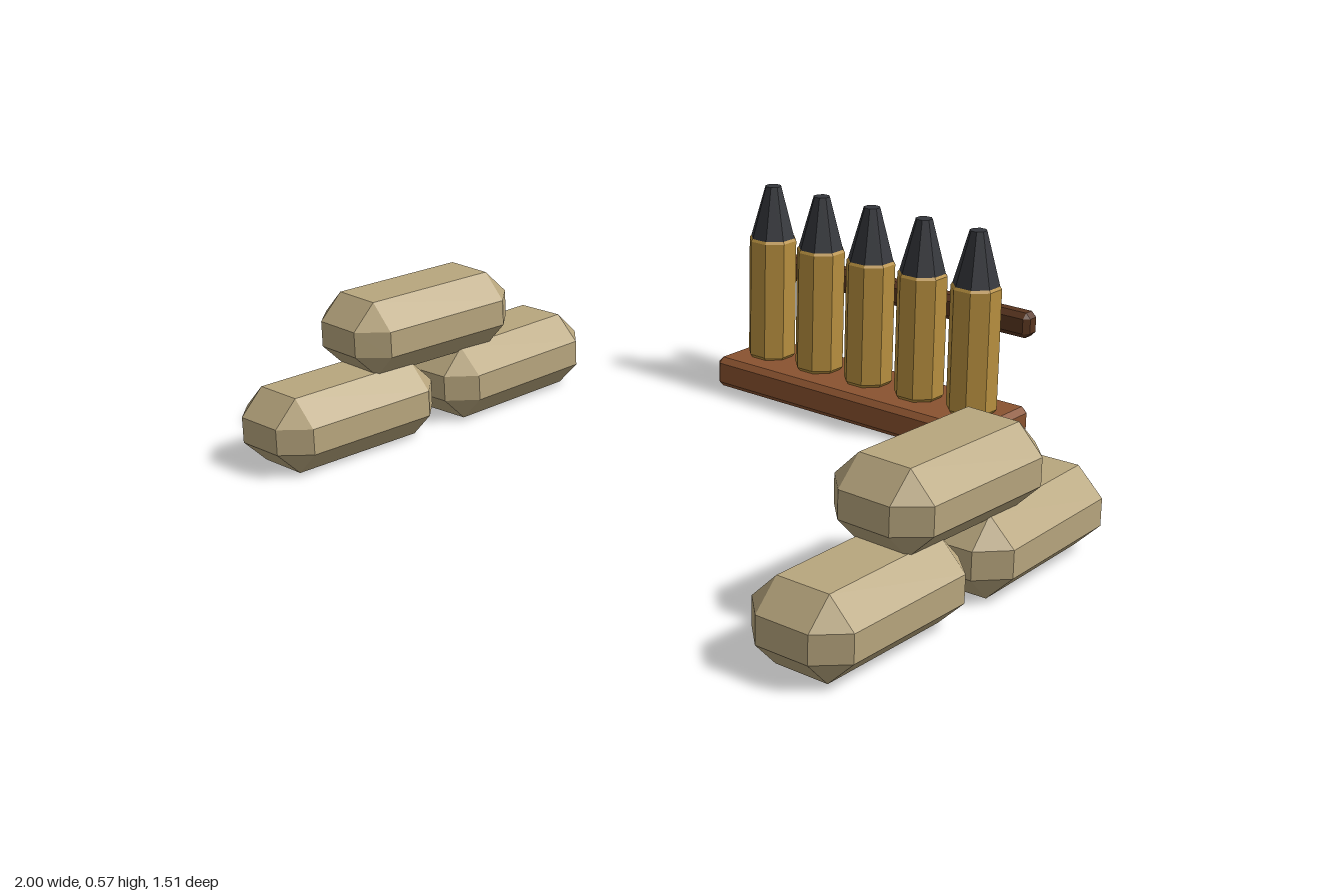
import * as THREE from 'three';
import { ConvexGeometry } from 'three/addons/geometries/ConvexGeometry.js';

const paint = (color) => new THREE.MeshStandardMaterial({ color, flatShading: true });
const canvas = paint(0xb8a67e);
const brass = paint(0xb8903f);
const steel = paint(0x35373c);
const wood = paint(0x8a5330);
const darkWood = paint(0x5a3620);

// Box with every edge cut at 45 degrees and triangular corners
function chamferBox(w, h, d, c) {
  const points = [];
  for (const sx of [-1, 1]) for (const sy of [-1, 1]) for (const sz of [-1, 1]) {
    for (let axis = 0; axis < 3; axis++) {
      const half = [w / 2, h / 2, d / 2].map((v, i) => (i === axis ? v : v - c));
      points.push(new THREE.Vector3(sx * half[0], sy * half[1], sz * half[2]));
    }
  }
  return new ConvexGeometry(points);
}

// Eight-sided turned form; radii are measured to the flats
function octagonal(profile) {
  const k = 1 / Math.cos(Math.PI / 8);
  const points = profile.map(([r, y]) => new THREE.Vector2(r * k, y));
  return new THREE.LatheGeometry(points, 8, Math.PI / 8);
}

function add(parent, name, geometry, material, x, y, z) {
  const mesh = new THREE.Mesh(geometry, material);
  mesh.name = name;
  mesh.position.set(x, y, z);
  parent.add(mesh);
  return mesh;
}

export function createModel() {
  const model = new THREE.Group();
  model.name = 'sandbagsAndShellRack';

  // Two stacks of three sandbags, each bag turned slightly
  const bag = chamferBox(0.27, 0.2, 0.51, 0.066);
  for (const [name, x] of [['rightSandbags', -0.857], ['leftSandbags', 0.855]]) {
    const stack = new THREE.Group();
    stack.name = name;
    stack.position.x = x;
    add(stack, 'frontSandbag', bag, canvas, 0, 0.1, 0.5);
    add(stack, 'backSandbag', bag, canvas, 0, 0.1, -0.043).rotation.y = 0.04;
    add(stack, 'topSandbag', bag, canvas, 0, 0.288, 0.23).rotation.y = -0.03;
    model.add(stack);
  }

  // Rack: base plank and back rail
  const rack = new THREE.Group();
  rack.name = 'shellRack';
  rack.position.z = -0.63;
  add(rack, 'rackBase', chamferBox(0.885, 0.085, 0.25, 0.015), wood, 0, 0.0425, 0);
  add(rack, 'rackRail', chamferBox(0.91, 0.068, 0.054, 0.014), darkWood, 0, 0.317, -0.1);

  // Five upright shells
  const casing = octagonal([[0, 0.085], [0.056, 0.085], [0.0625, 0.094], [0.0625, 0.422], [0.057, 0.43], [0, 0.43]]);
  const nose = octagonal([[0, 0.428], [0.058, 0.428], [0.021, 0.573], [0, 0.573]]);
  for (let i = -2; i <= 2; i++) {
    const shell = new THREE.Group();
    shell.name = 'shell';
    shell.position.x = i * 0.171;
    add(shell, 'shellCasing', casing, brass, 0, 0, 0);
    add(shell, 'shellTip', nose, steel, 0, 0, 0);
    rack.add(shell);
  }
  model.add(rack);

  return model;
}
